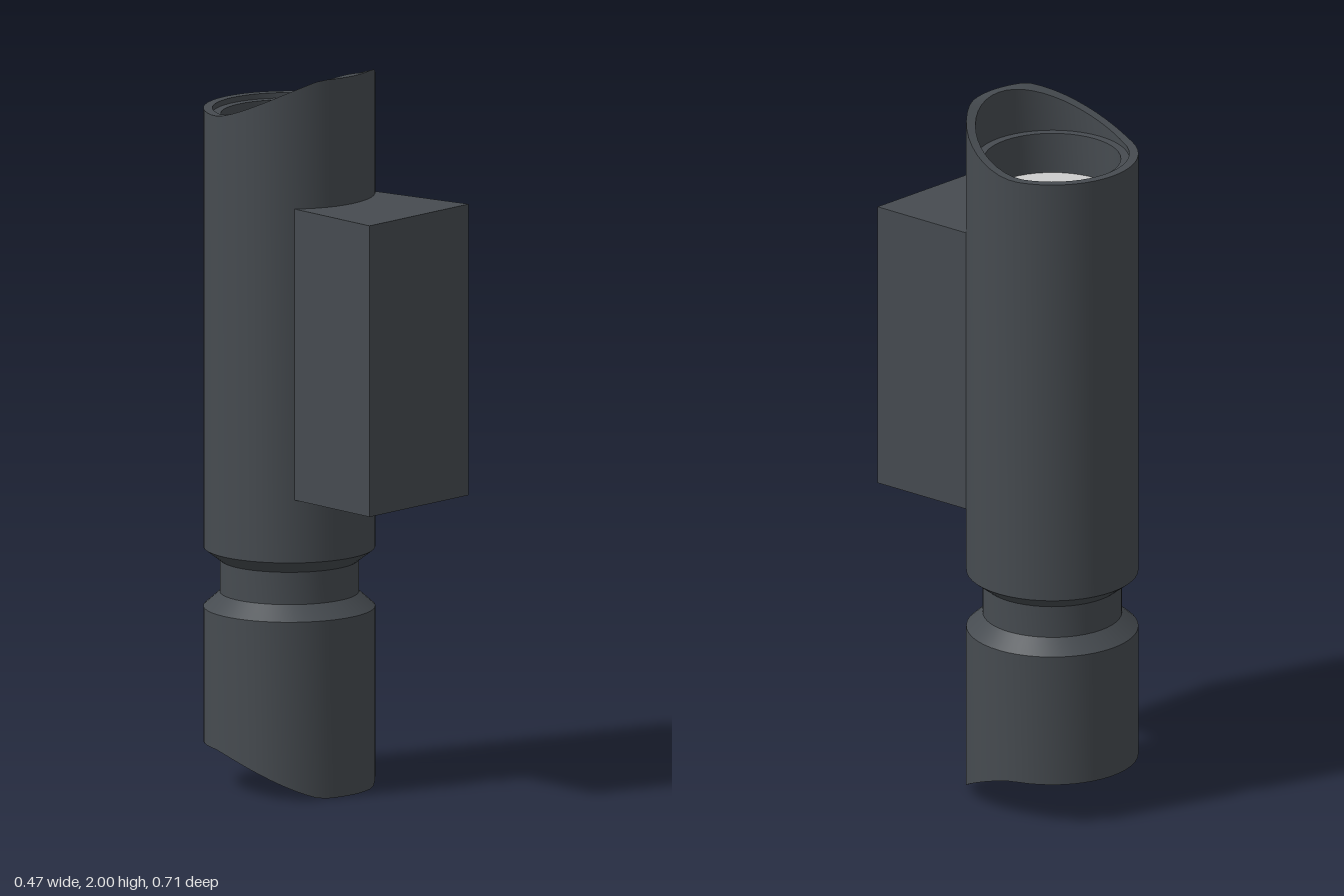
import * as THREE from 'three';
import { toCreasedNormals } from 'three/addons/utils/BufferGeometryUtils.js';

const TUBE_Z = -0.12;

// How far the scooped rim rises above its low back edge, by depth z
function rimRise(z) {
  const t = THREE.MathUtils.clamp((z + 0.2) / 0.29, 0, 1);
  return 0.12 * Math.pow(t, 1.5);
}

export function createModel() {
  const model = new THREE.Group();
  const tubeMat = new THREE.MeshStandardMaterial({ color: 0x464b50 });
  tubeMat.name = 'anthracite metal';
  const glassMat = new THREE.MeshStandardMaterial({ color: 0xcccccc });
  glassMat.name = 'frosted glass';

  const add = (name, geometry, material) => {
    const mesh = new THREE.Mesh(geometry, material);
    mesh.name = name;
    model.add(mesh);
    return mesh;
  };

  // Tube: lower recess, outer wall with neck groove, upper recess
  const profile = [
    [0.187, 0.25], [0.187, 0.135], [0.21, 0.135], [0.21, 0], [0.235, 0],
    [0.235, 0.495], [0.19, 0.535], [0.19, 0.625], [0.235, 0.66],
    [0.235, 2], [0.21, 2], [0.21, 1.865], [0.187, 1.865], [0.187, 1.75],
  ].map(([r, y]) => new THREE.Vector2(r, y));
  const tube = new THREE.LatheGeometry(profile, 48);
  tube.translate(0, 0, TUBE_Z);

  // Cut both rims to the scooped curve
  const pos = tube.attributes.position;
  for (let i = 0; i < pos.count; i++) {
    const y = pos.getY(i), rise = rimRise(pos.getZ(i));
    if (y > 1.99) pos.setY(i, 1.88 + rise);
    if (y < 0.01) pos.setY(i, 0.12 - rise);
  }
  add('lampTube', toCreasedNormals(tube, 0.6), tubeMat);

  // Glass discs closing both recesses
  for (const [name, y, turn] of [['upperGlass', 1.75, -1], ['lowerGlass', 0.25, 1]]) {
    const disc = add(name, new THREE.CircleGeometry(0.187, 48), glassMat);
    disc.rotation.x = turn * Math.PI / 2;
    disc.position.set(0, y, TUBE_Z);
  }

  // Wall mount: box narrowing towards the tube
  const mount = new THREE.BoxGeometry(0.406, 0.81, 0.335);
  mount.translate(0, 1.24, 0.1875);
  const mp = mount.attributes.position;
  for (let i = 0; i < mp.count; i++) {
    if (mp.getZ(i) < 0.1) mp.setX(i, Math.sign(mp.getX(i)) * 0.162);
  }
  mount.computeVertexNormals();
  add('wallMount', mount, tubeMat);

  return model;
}
